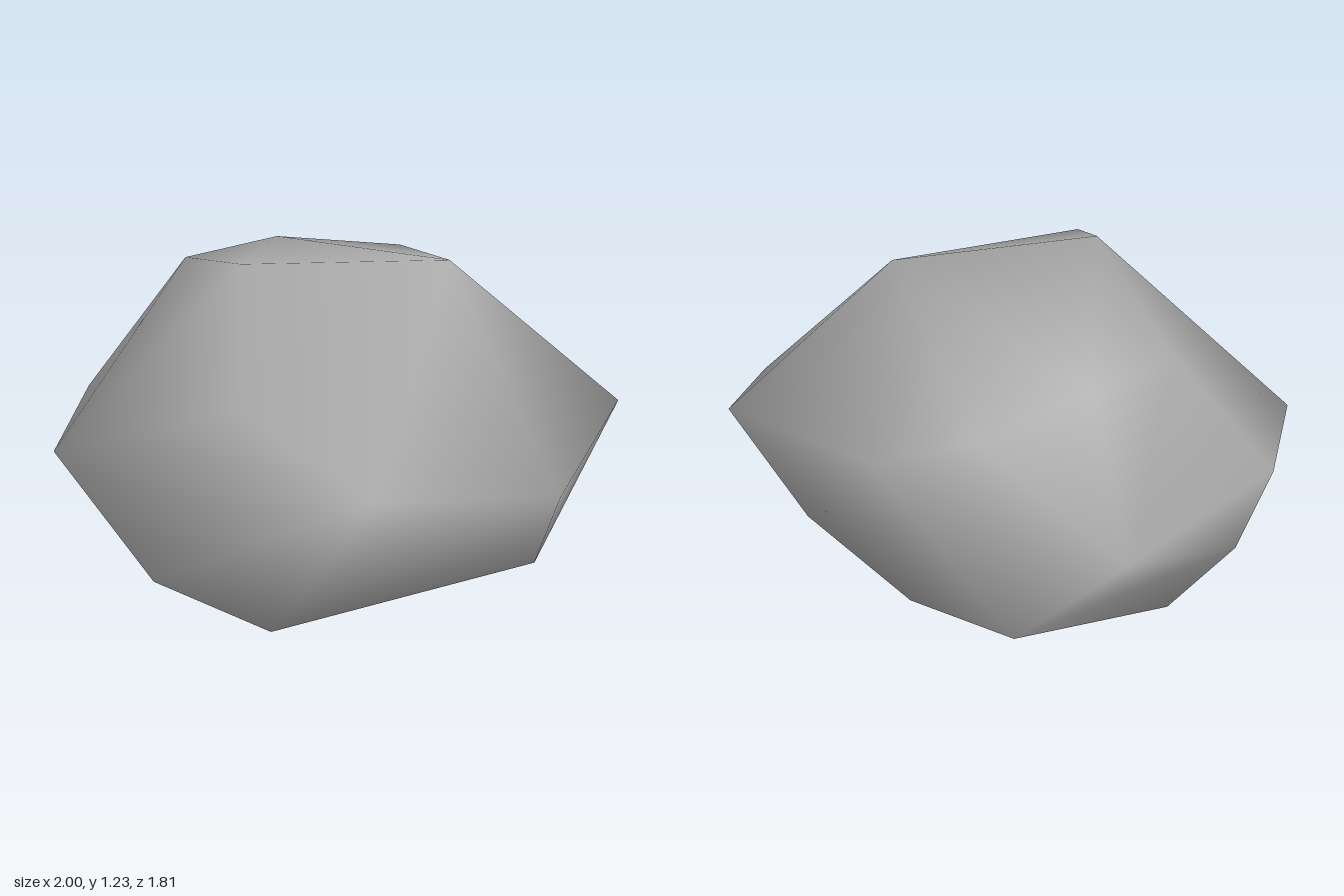
import * as THREE from 'three';
import { ConvexGeometry } from 'three/addons/geometries/ConvexGeometry.js';
import { mergeVertices } from 'three/addons/utils/BufferGeometryUtils.js';

// Corners of the boulder, from the top ridge down to the underside
const CORNERS = [
  // top ridge and upper back shoulder
  [-0.34, 1.22, 0.12], [0.40, 1.225, 0.11],
  [-0.52, 1.07, -0.43], [-0.19, 1.09, -0.60], [0.25, 1.015, -0.72],
  // upper sides
  [-0.37, 0.84, 0.65], [0.60, 0.81, -0.50],
  // widest girdle
  [1.00, 0.68, 0.06], [0.78, 0.47, 0.53], [0.11, 0.575, 0.90],
  [-1.00, 0.48, -0.03], [-0.86, 0.57, -0.51], [-0.69, 0.38, -0.68], [-0.26, 0.535, -0.91],
  // underside
  [-0.66, 0.14, 0.43], [-0.25, 0.01, 0.62], [0.70, 0.10, 0.13], [0.45, 0.06, 0.05],
  [0.42, 0.05, -0.35], [0.13, 0.18, -0.80], [-0.48, 0, -0.49],
];

export function createModel() {
  const group = new THREE.Group();
  group.name = 'rock';

  const stone = new THREE.MeshStandardMaterial({ color: 0xaaaaaa });
  stone.name = 'stone grey';

  // Convex shell with shared corners, so the shading runs smoothly over the facets
  const hull = new ConvexGeometry(CORNERS.map((c) => new THREE.Vector3(...c)));
  hull.deleteAttribute('normal');
  const geometry = mergeVertices(hull, 1e-4);
  geometry.computeVertexNormals();

  const boulder = new THREE.Mesh(geometry, stone);
  boulder.name = 'boulder';
  group.add(boulder);
  return group;
}
